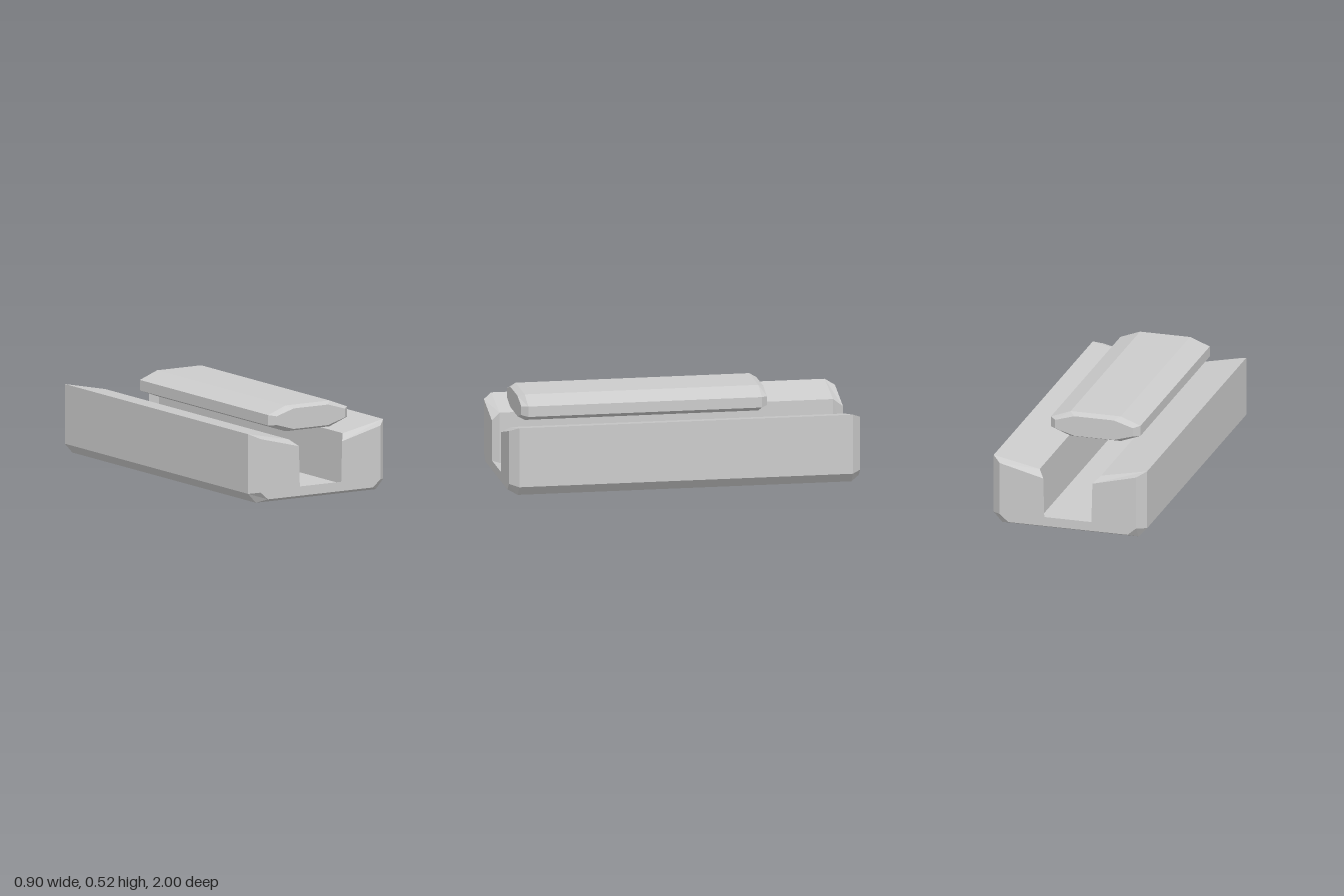
import * as THREE from 'three';

const material = new THREE.MeshStandardMaterial({ color: 0xcccccc, flatShading: true });

// Mirrors the +x half of an outline (bottom to top) into a counter-clockwise ring
const mirror = half => [...half, ...half.map(([x, y]) => [-x, y]).reverse()];

// Joins equal-length rings along z (back to front) and caps both ends
function loft(sections) {
  const n = sections[0].ring.length;
  const positions = sections.flatMap(({ ring, z }) => ring.flatMap(([x, y]) => [x, y, z]));
  const index = [];
  for (let s = 0; s < sections.length - 1; s++) {
    for (let i = 0; i < n; i++) {
      const a = s * n + i, b = s * n + (i + 1) % n;
      index.push(a, b, b + n, a, b + n, a + n);
    }
  }
  const contour = sections[0].ring.map(([x, y]) => new THREE.Vector2(x, y));
  const last = (sections.length - 1) * n;
  for (const [a, b, c] of THREE.ShapeUtils.triangulateShape(contour, [])) {
    index.push(c, b, a, last + a, last + b, last + c);
  }
  const indexed = new THREE.BufferGeometry();
  indexed.setAttribute('position', new THREE.Float32BufferAttribute(positions, 3));
  indexed.setIndex(index);
  const geometry = indexed.toNonIndexed();
  geometry.computeVertexNormals();
  return geometry;
}

// A bar with a full middle section and smaller bevelled end faces
function bevelledBar(name, middle, end, back, front, bevel) {
  const mid = mirror(middle), tip = mirror(end);
  const mesh = new THREE.Mesh(loft([
    { ring: tip, z: back },
    { ring: mid, z: back + bevel },
    { ring: mid, z: front - bevel },
    { ring: tip, z: front },
  ]), material);
  mesh.name = name;
  return mesh;
}

export function createModel() {
  const group = new THREE.Group();
  group.name = 'channelWithSlider';

  // U-shaped channel; its groove narrows and its floor rises at both ends
  group.add(bevelledBar('channelBase',
    [[0.4, 0], [0.45, 0.055], [0.45, 0.395], [0.18, 0.34], [0.175, 0.052]],
    [[0.35, 0.022], [0.4, 0.065], [0.4, 0.37], [0.144, 0.305], [0.138, 0.075]],
    -1, 1, 0.05));

  // Flat eight-sided bar floating above the groove
  group.add(bevelledBar('slider',
    [[0.147, 0.37], [0.262, 0.413], [0.262, 0.473], [0.147, 0.517]],
    [[0.115, 0.385], [0.228, 0.418], [0.228, 0.468], [0.115, 0.502]],
    -0.5, 0.9, 0.035));

  return group;
}
